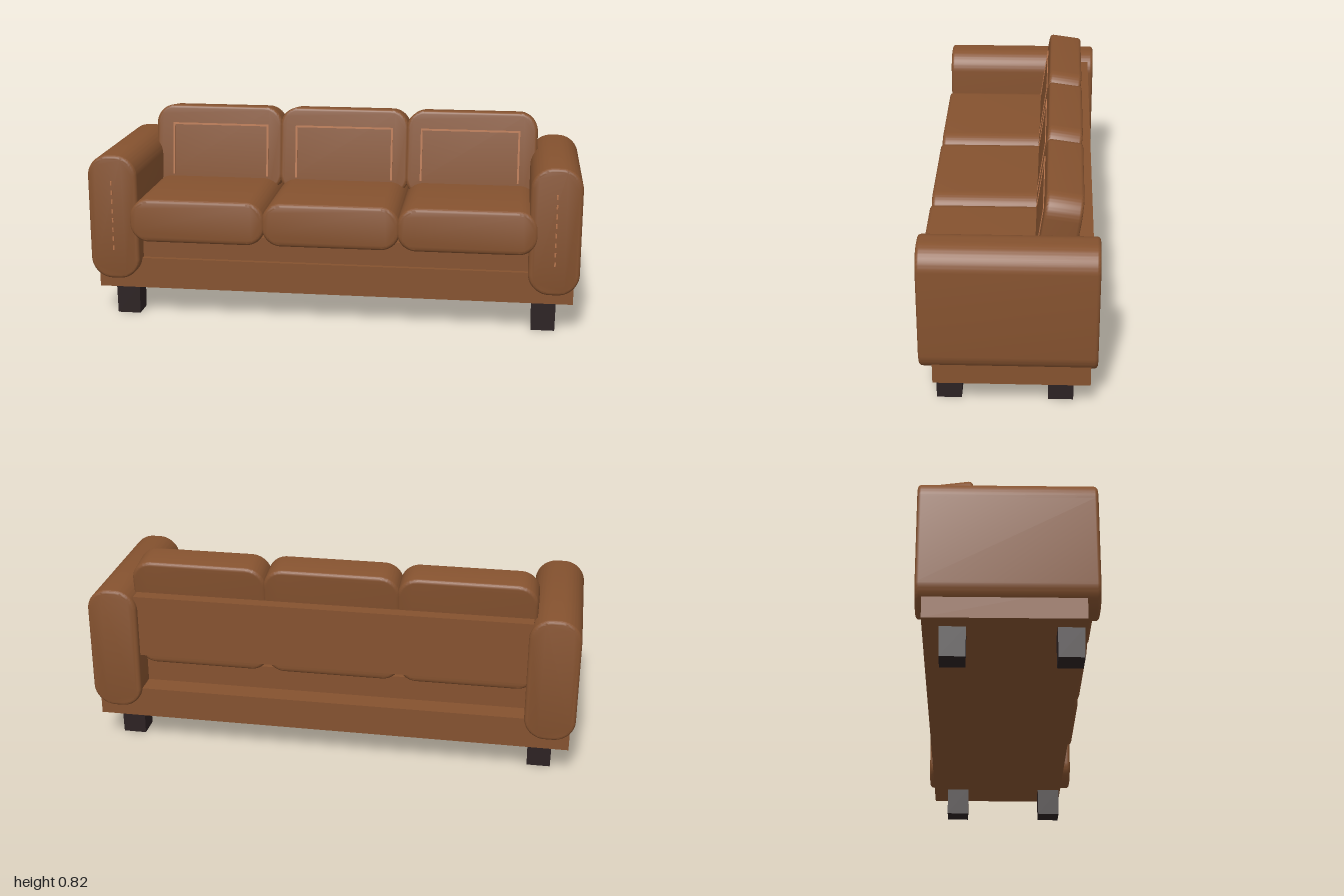
import * as THREE from 'three';
import { toCreasedNormals } from 'three/addons/utils/BufferGeometryUtils.js';

const material = (name, color) => {
  const m = new THREE.MeshStandardMaterial({ color });
  m.name = name;
  return m;
};

// Rounded rectangle in XY, padded along z with a soft bevel, centred on the origin
function paddedBlock(w, h, d, r, bevel) {
  const x = w / 2 - bevel, y = h / 2 - bevel, c = r - bevel;
  const s = new THREE.Shape();
  s.moveTo(-x + c, -y);
  s.lineTo(x - c, -y);
  s.absarc(x - c, -y + c, c, -Math.PI / 2, 0);
  s.absarc(x - c, y - c, c, 0, Math.PI / 2);
  s.absarc(-x + c, y - c, c, Math.PI / 2, Math.PI);
  s.absarc(-x + c, -y + c, c, Math.PI, Math.PI * 1.5);
  const g = new THREE.ExtrudeGeometry(s, {
    depth: d - 2 * bevel, bevelEnabled: true, bevelSize: bevel,
    bevelThickness: bevel, bevelSegments: 4, curveSegments: 10,
  });
  g.translate(0, 0, -d / 2 + bevel);
  return toCreasedNormals(g, 0.6);
}

export function createModel() {
  const sofa = new THREE.Group();
  sofa.name = 'sofa';
  const leather = material('brown leather', 0x85522f);
  const stitch = material('tan stitching', 0xb5734a);
  const wood = material('dark wood', 0x2c2223);

  const add = (name, geo, mat, x, y, z, parent = sofa) => {
    const m = new THREE.Mesh(geo, mat);
    m.name = name;
    m.position.set(x, y, z);
    parent.add(m);
    return m;
  };
  // Plain box given by its limits
  const box = (name, x0, x1, y0, y1, z0, z1, mat) =>
    add(name, new THREE.BoxGeometry(x1 - x0, y1 - y0, z1 - z0), mat,
      (x0 + x1) / 2, (y0 + y1) / 2, (z0 + z1) / 2);

  // Frame
  box('baseFrame', -0.98, 0.98, 0.117, 0.245, -0.31, 0.28, leather);
  box('seatDeck', -0.81, 0.81, 0.245, 0.345, -0.22, 0.26, leather);
  box('backPanel', -0.81, 0.81, 0.4, 0.66, -0.31, -0.2, leather);

  // Arms with a row of stitches, and legs
  const armGeo = paddedBlock(0.205, 0.522, 0.664, 0.088, 0.014);
  const dashGeo = new THREE.BoxGeometry(0.006, 0.018, 0.008);
  const legGeo = new THREE.CylinderGeometry(0.049 * Math.SQRT2, 0.0475 * Math.SQRT2, 0.119, 4)
    .rotateY(Math.PI / 4).toNonIndexed();
  legGeo.computeVertexNormals();
  for (const side of [-1, 1]) {
    add('arm', armGeo, leather, side * 0.8975, 0.428, -0.003);
    for (let i = 0; i < 8; i++) {
      add('armStitch', dashGeo, stitch, side * 0.9, 0.3 + i * 0.0392, 0.33);
    }
    for (const z of [0.224, -0.2]) add('leg', legGeo, wood, side * 0.863, 0.0595, z);
  }

  // Seat and back cushions
  const seatGeo = paddedBlock(0.562, 0.18, 0.565, 0.078, 0.016);
  const backGeo = paddedBlock(0.555, 0.37, 0.14, 0.08, 0.014);
  const sideLine = new THREE.BoxGeometry(0.008, 0.225, 0.006);
  const topLine = new THREE.BoxGeometry(0.42, 0.008, 0.006);
  for (const i of [-1, 0, 1]) {
    add('seatCushion', seatGeo, leather, i * 0.55, 0.42, 0.0525);

    const back = new THREE.Group();
    back.name = 'backCushion';
    back.position.set(i * 0.545, 0.624, -0.181);
    back.rotation.x = -0.14;
    sofa.add(back);
    add('backPad', backGeo, leather, 0, 0, 0, back);
    add('topStitchLine', topLine, stitch, -i * 0.006, 0.104, 0.07, back);
    for (const s of [-1, 1]) {
      add('sideStitchLine', sideLine, stitch, -i * 0.006 + s * 0.206, -0.0045, 0.07, back);
    }
  }
  return sofa;
}
